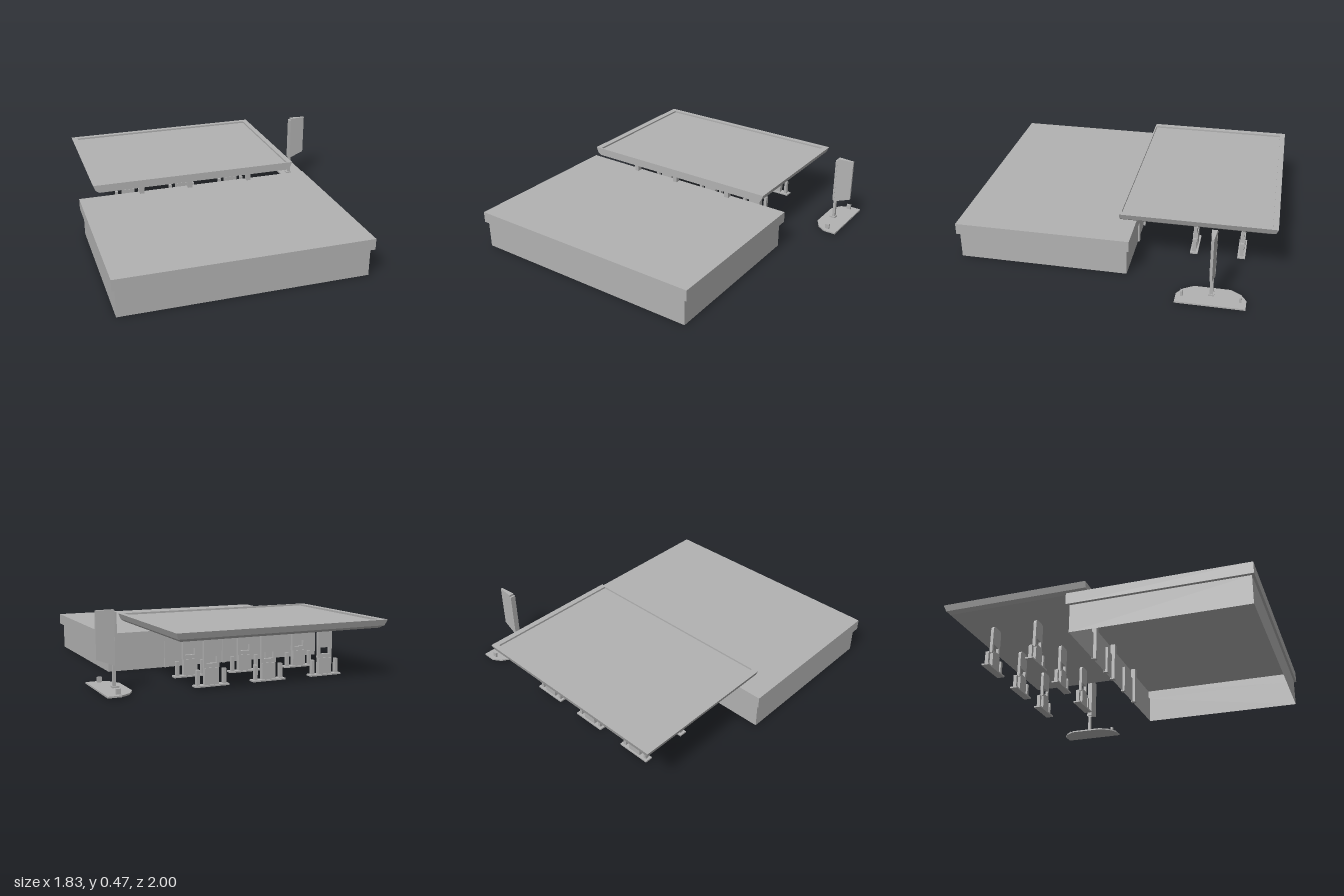
import * as THREE from 'three';

const concrete = new THREE.MeshStandardMaterial({ color: 0xb2b2b2, side: THREE.DoubleSide });
concrete.name = 'concreteGrey';

function add(parent, name, geometry) {
  const mesh = new THREE.Mesh(geometry, concrete);
  mesh.name = name;
  parent.add(mesh);
  return mesh;
}

// Box given by its limits on each axis
function box(parent, name, x0, x1, y0, y1, z0, z1) {
  const g = new THREE.BoxGeometry(x1 - x0, y1 - y0, z1 - z0);
  g.translate((x0 + x1) / 2, (y0 + y1) / 2, (z0 + z1) / 2);
  return add(parent, name, g);
}

// Skin through rectangular loops [x0, x1, y, z0, z1], optionally capped at either end
function rectLoft(loops, capStart, capEnd) {
  const corners = loops.map(([x0, x1, y, z0, z1]) =>
    [[x0, y, z1], [x1, y, z1], [x1, y, z0], [x0, y, z0]]);
  const pos = [];
  const quad = (a, b, c, d) => pos.push(...a, ...b, ...c, ...a, ...c, ...d);
  for (let i = 0; i + 1 < corners.length; i++) {
    const lo = corners[i], hi = corners[i + 1];
    for (let k = 0; k < 4; k++) {
      const n = (k + 1) % 4;
      quad(lo[k], lo[n], hi[n], hi[k]);
    }
  }
  if (capStart) quad(...[...corners[0]].reverse());
  if (capEnd) quad(...corners[corners.length - 1]);
  const g = new THREE.BufferGeometry();
  g.setAttribute('position', new THREE.Float32BufferAttribute(pos, 3));
  g.computeVertexNormals();
  return g;
}

function shapeOf(points) {
  return new THREE.Shape(points.map(([x, y]) => new THREE.Vector2(x, y)));
}

// Hollow shop with an overhanging roof, open underneath
function createShop() {
  const shop = new THREE.Group();
  shop.name = 'shop';
  add(shop, 'walls', rectLoft([
    [-0.9, 0.66, 0, -0.096, 0.985],
    [-0.9, 0.66, 0.178, -0.096, 0.985],
  ]));
  add(shop, 'roof', rectLoft([
    [-0.9, 0.66, 0.178, -0.096, 0.985],
    [-0.92, 0.685, 0.178, -0.115, 1],
    [-0.92, 0.685, 0.25, -0.115, 1],
  ], false, true));
  // Pilasters along the back wall; three of them rise to carry the canopy
  for (const x of [-0.285, 0.05]) {
    box(shop, 'wallPilaster', x - 0.013, x + 0.013, 0, 0.178, -0.107, -0.08);
  }
  for (const x of [-0.5, -0.165, 0.26]) {
    box(shop, 'canopyPillar', x - 0.015, x + 0.015, 0, 0.315, -0.107, -0.075);
  }
  return shop;
}

// Wide canopy with bevelled underside and a recessed top
function createCanopy() {
  return rectLoft([
    [-0.795, 0.53, 0.314, -0.965, -0.03],
    [-0.82, 0.552, 0.33, -0.987, -0.03],
    [-0.835, 0.567, 0.367, -1, -0.03],
    [-0.795, 0.53, 0.367, -0.965, -0.04],
    [-0.795, 0.53, 0.355, -0.965, -0.04],
  ], true, true);
}

// Fuel pump on a narrow island with a bollard at each end
function createPump() {
  const pump = new THREE.Group();
  pump.name = 'pump';
  box(pump, 'island', -0.11, 0.11, 0.01, 0.02, -0.025, 0.025);
  box(pump, 'lowerCabinet', -0.045, 0.045, 0.02, 0.12, -0.016, 0.016);
  for (const s of [-1, 1]) {
    box(pump, 'bollard', s * 0.085 - 0.01, s * 0.085 + 0.01, 0.02, 0.11, -0.012, 0.012);
  }
  // Upright panel with rounded shoulders and an open window
  const panel = new THREE.Shape();
  panel.moveTo(-0.05, 0.12);
  panel.lineTo(0.05, 0.12);
  panel.lineTo(0.05, 0.285);
  panel.quadraticCurveTo(0.05, 0.314, 0.025, 0.314);
  panel.lineTo(-0.025, 0.314);
  panel.quadraticCurveTo(-0.05, 0.314, -0.05, 0.285);
  panel.holes.push(new THREE.Path([[-0.033, 0.145], [-0.033, 0.185], [0.033, 0.185], [0.033, 0.145]]
    .map(([x, y]) => new THREE.Vector2(x, y))));
  const g = new THREE.ExtrudeGeometry(panel, { depth: 0.02, bevelEnabled: false, curveSegments: 5 });
  g.translate(0, 0, -0.01);
  add(pump, 'uprightPanel', g);
  return pump;
}

// Roadside sign on its own chamfered island
function createSign() {
  const sign = new THREE.Group();
  sign.name = 'roadSign';
  const zc = -0.64;
  const half = [[0.735, 0.11], [0.775, 0.175], [0.83, 0.21], [0.912, 0.21]];
  const outline = [
    ...half.map(([x, d]) => [x, -(zc + d)]),
    ...[...half].reverse().map(([x, d]) => [x, -(zc - d)]),
  ];
  const base = new THREE.ExtrudeGeometry(shapeOf(outline), { depth: 0.01, bevelEnabled: false });
  base.rotateX(-Math.PI / 2);
  base.translate(0, 0.01, 0);
  add(sign, 'signIsland', base);
  for (const s of [-1, 1]) {
    const z = zc + s * 0.175;
    box(sign, 'signBollard', 0.825, 0.853, 0.02, 0.052, z - 0.007, z + 0.007);
  }
  box(sign, 'poleFoot', 0.78, 0.82, 0.02, 0.03, zc - 0.018, zc + 0.018);
  box(sign, 'pole', 0.796, 0.814, 0.02, 0.2, zc - 0.01, zc + 0.01);
  box(sign, 'signSpine', 0.79, 0.803, 0.155, 0.457, zc - 0.018, zc + 0.018);
  // Board tapers towards its outer edge, with a sloping lower edge
  const board = new THREE.ExtrudeGeometry(
    shapeOf([[0.803, 0.15], [0.912, 0.188], [0.912, 0.47], [0.803, 0.47]]),
    { depth: 1, bevelEnabled: false });
  const p = board.attributes.position;
  for (let i = 0; i < p.count; i++) {
    const thickness = p.getX(i) > 0.85 ? 0.014 : 0.034;
    p.setZ(i, zc + (p.getZ(i) - 0.5) * thickness);
  }
  board.computeVertexNormals();
  add(sign, 'signBoard', board);
  return sign;
}

export function createModel() {
  const model = new THREE.Group();
  model.name = 'fuelStation';
  model.add(createShop());
  add(model, 'canopy', createCanopy());
  for (const x of [-0.52, -0.12, 0.26]) {
    for (const z of [-0.48, -0.785]) {
      const pump = createPump();
      pump.position.set(x, 0, z);
      model.add(pump);
    }
  }
  model.add(createSign());
  return model;
}
